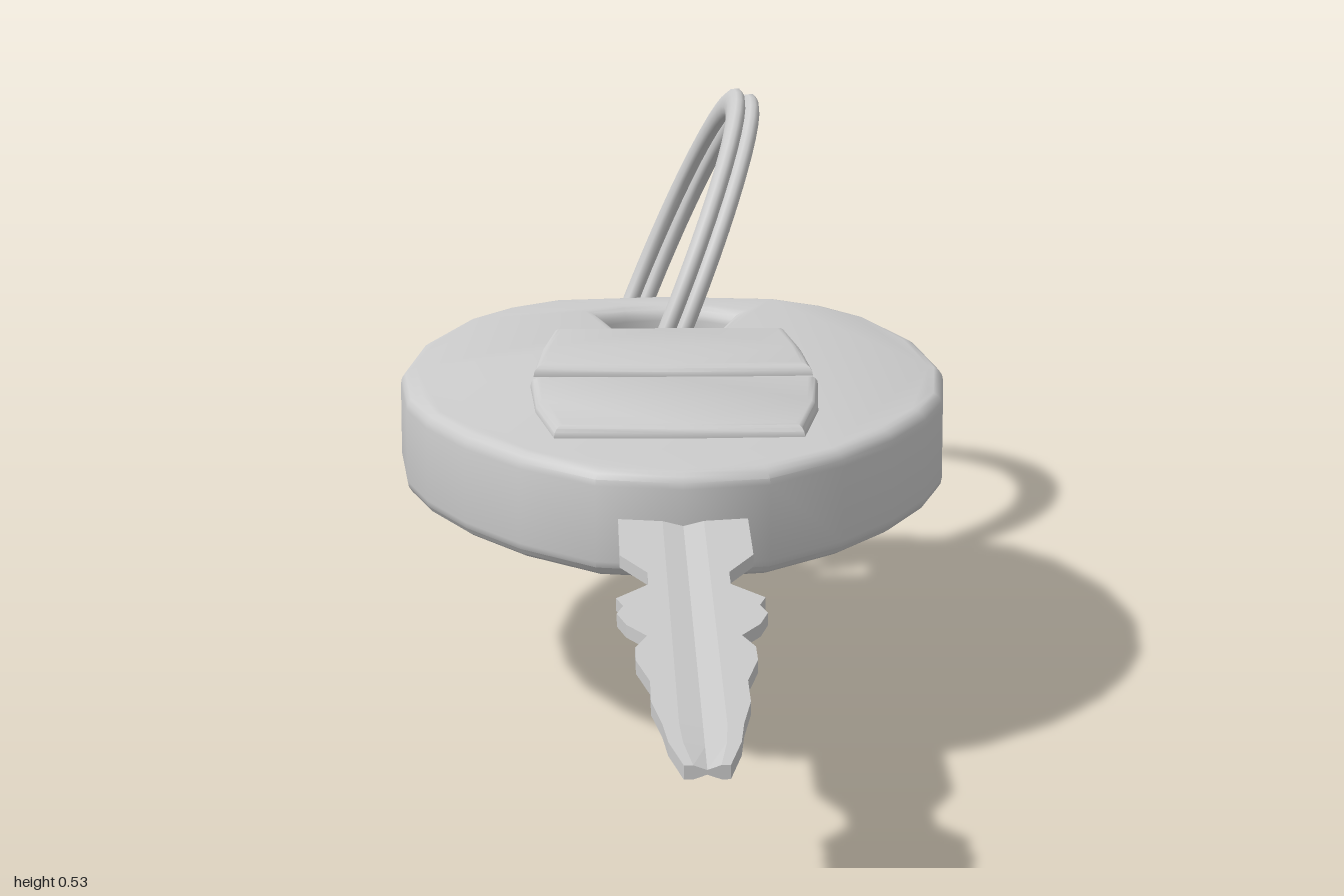
import * as THREE from 'three';
import { toCreasedNormals } from 'three/addons/utils/BufferGeometryUtils.js';

const material = new THREE.MeshStandardMaterial({ color: 0xcccccc });

function addMesh(parent, name, geometry) {
  const mesh = new THREE.Mesh(geometry, material);
  mesh.name = name;
  parent.add(mesh);
  return mesh;
}

// Mirrors a half outline of [x, z] pairs to a closed list of points
function mirrored(half) {
  const left = half.filter(([x]) => x > 0).reverse().map(([x, z]) => [-x, z]);
  return [...half, ...left].map(([x, z]) => new THREE.Vector2(x, z));
}

// Horizontal slab with rounded rims, its outline given in x and z
function slab(outline, bottom, top, bevel, hole) {
  const shape = new THREE.Shape(outline);
  if (hole) shape.holes.push(new THREE.Path(hole));
  const geometry = new THREE.ExtrudeGeometry(shape, {
    depth: top - bottom - 2 * bevel, bevelThickness: bevel, bevelSize: bevel,
    bevelOffset: -bevel, bevelSegments: 4, curveSegments: 8,
  });
  geometry.rotateX(Math.PI / 2).translate(0, top - bevel, 0);
  return toCreasedNormals(geometry, 0.6);
}

// Thin blade lofted along z, with a V groove down the middle of both faces
function bladeGeometry() {
  const sections = [ // [z, half width]
    [0.22, 0.063], [0.37, 0.063], [0.43, 0.038], [0.47, 0.038], [0.515, 0.068],
    [0.54, 0.062], [0.565, 0.068], [0.6, 0.06], [0.635, 0.042], [0.67, 0.053],
    [0.71, 0.053], [0.77, 0.042], [0.83, 0.042], [0.89, 0.034], [0.94, 0.03], [1, 0.019],
  ];
  const y = 0.271, t = 0.006, n = 8;
  const positions = [], index = [];
  for (const [z, w] of sections) {
    const g = Math.min(0.02, w * 0.6);
    const ring = [[w, -t], [w, t], [g, t], [0, 0.002], [-g, t], [-w, t], [-w, -t], [-g, -t], [0, -0.002], [g, -t]];
    for (const [x, dy] of ring) positions.push(x, y + dy, z);
  }
  const count = 10;
  for (let s = 0; s < sections.length - 1; s++) {
    for (let i = 0; i < count; i++) {
      const a = s * count + i, b = s * count + (i + 1) % count;
      index.push(a, b, b + count, a, b + count, a + count);
    }
  }
  // End caps, split into quads across the groove
  const end = (sections.length - 1) * count;
  for (const [a, b, c, d] of [[0, 1, 2, 9], [9, 2, 3, 8], [8, 3, 4, 7], [7, 4, 5, 6]]) {
    index.push(end + a, end + b, end + c, end + a, end + c, end + d);
    index.push(a, c, b, a, d, c);
  }
  const geometry = new THREE.BufferGeometry();
  geometry.setAttribute('position', new THREE.Float32BufferAttribute(positions, 3));
  geometry.setIndex(index);
  const flat = geometry.toNonIndexed();
  flat.computeVertexNormals();
  return flat;
}

export function createModel() {
  const model = new THREE.Group();
  model.name = 'carKey';

  // Egg-shaped handle with a slot for the ring
  const outline = mirrored([
    [0, -0.565], [0.125, -0.55], [0.18, -0.51], [0.225, -0.45], [0.27, -0.33], [0.288, -0.2],
    [0.278, -0.08], [0.255, 0], [0.215, 0.085], [0.16, 0.165], [0.085, 0.235], [0, 0.252],
  ]);
  const slot = mirrored([[0, -0.5], [0.045, -0.49], [0.073, -0.47], [0.055, -0.4]]);
  addMesh(model, 'handle', slab(outline, 0.217, 0.325, 0.016, slot));

  // Two slightly bowed buttons
  const buttons = {
    rearButton: [[0, -0.345], [0.127, -0.343], [0.14, -0.25], [0.147, -0.157], [0, -0.153]],
    frontButton: [[0, -0.115], [0.15, -0.113], [0.144, 0], [0.125, 0.108], [0, 0.112]],
  };
  for (const [name, half] of Object.entries(buttons)) {
    addMesh(model, name, slab(mirrored(half), 0.305, 0.337, 0.011));
  }

  addMesh(model, 'blade', bladeGeometry());

  // Split ring: two flattened coils side by side
  const ring = new THREE.Group();
  ring.name = 'splitRing';
  for (const side of [-1, 1]) {
    const coil = new THREE.TorusGeometry(0.264, 0.0175, 12, 48);
    coil.scale(1, 1, 0.57).rotateY(Math.PI / 2).translate(side * 0.0088, 0, 0);
    addMesh(ring, side < 0 ? 'rightCoil' : 'leftCoil', coil);
  }
  ring.rotation.z = -0.39;
  ring.position.set(-0.007, 0.268, -0.717);
  model.add(ring);

  return model;
}
